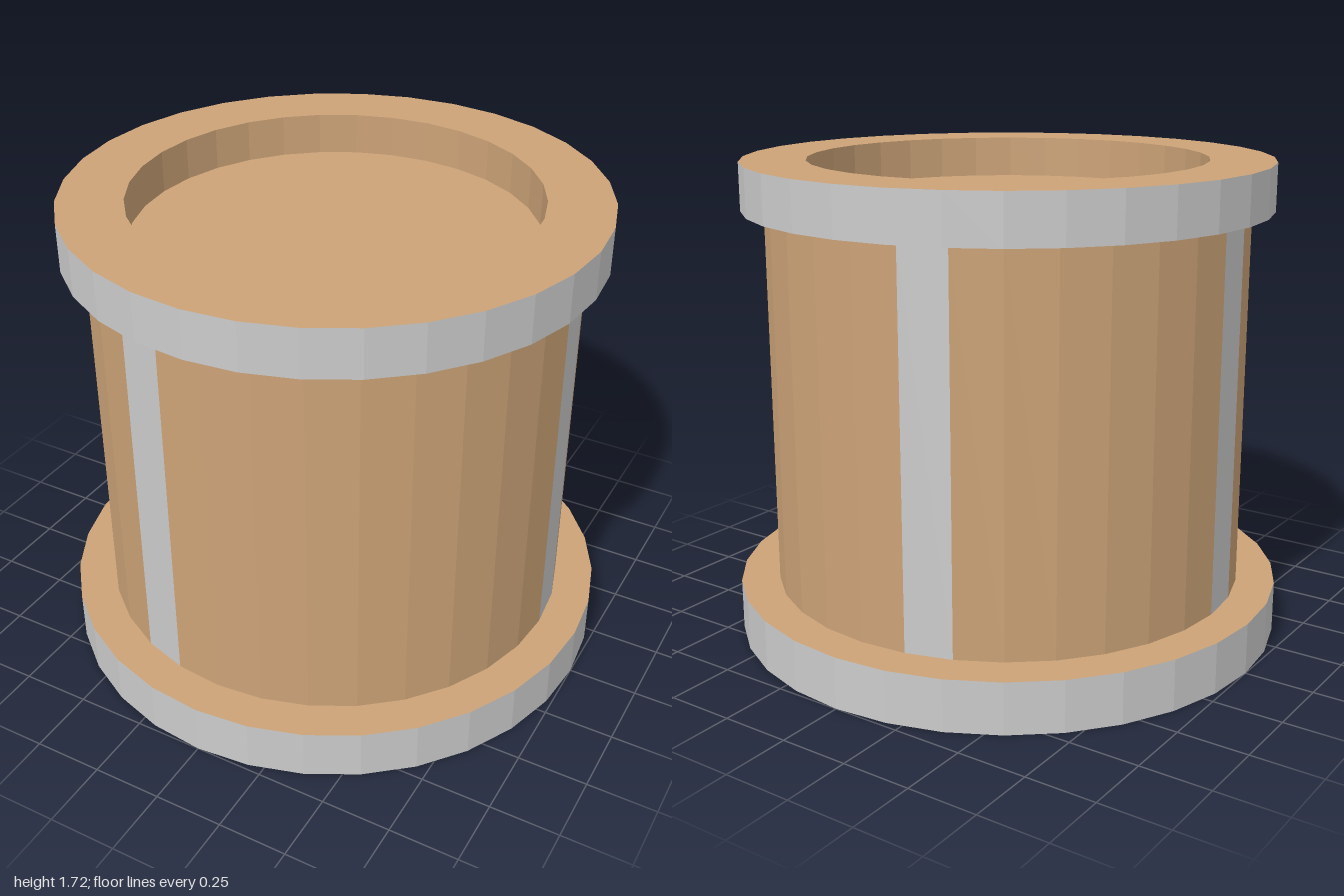
import * as THREE from 'three';

const SIDES = 32;
const STEP = (Math.PI * 2) / SIDES;
const wood = new THREE.MeshStandardMaterial({ color: 0xcca377, flatShading: true });
const metal = new THREE.MeshStandardMaterial({ color: 0xcccccc, flatShading: true });

// Faceted surface of revolution covering `count` sides from side `first`
function turned(name, material, profile, first = 0, count = SIDES) {
  const points = profile.map(([r, y]) => new THREE.Vector2(r, y));
  const geometry = new THREE.LatheGeometry(points, count, first * STEP, count * STEP).toNonIndexed();
  geometry.computeVertexNormals();
  const mesh = new THREE.Mesh(geometry, material);
  mesh.name = name;
  return mesh;
}

export function createModel() {
  const model = new THREE.Group();
  model.name = 'drum';

  const baseR = 1, bodyR = 0.86, rimR = 0.94, recessR = 0.71;
  const baseY = 0.185, lipY = 1.55, topY = 1.72, floorY = 1.57;

  // Base disc: wooden faces with a metal band
  model.add(turned('baseUnderside', wood, [[0, 0], [baseR, 0]]));
  model.add(turned('baseBand', metal, [[baseR, 0], [baseR, baseY]]));
  model.add(turned('baseLedge', wood, [[baseR, baseY], [bodyR, baseY]]));

  // Body: each metal strip is one side wide, with wood filling up to the next
  const strips = [8, 17, 24, 30];
  const wall = [[bodyR, baseY], [bodyR, lipY]];
  strips.forEach((side, i) => {
    const next = i + 1 < strips.length ? strips[i + 1] : strips[0] + SIDES;
    model.add(turned('metalStrip', metal, wall, side, 1));
    model.add(turned('bodyWall', wood, wall, side + 1, next - side - 1));
  });

  // Rim: overhanging lip, metal band and recessed lid
  model.add(turned('rimUnderside', wood, [[bodyR, lipY], [rimR, lipY]]));
  model.add(turned('rimBand', metal, [[rimR, lipY], [rimR, topY]]));
  model.add(turned('recessedLid', wood, [[rimR, topY], [recessR, topY], [recessR, floorY], [0, floorY]]));

  return model;
}
